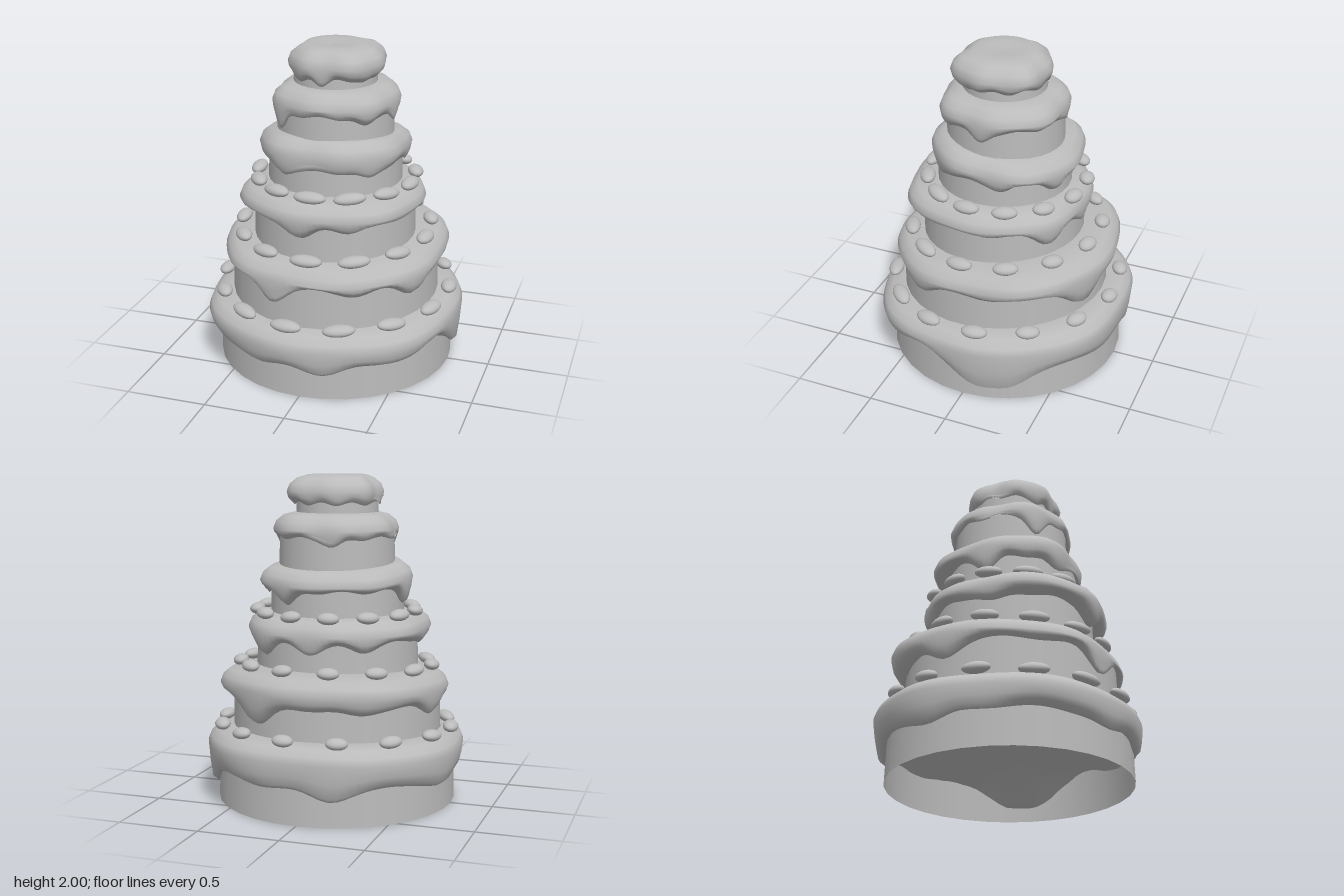
import * as THREE from 'three';

const TAU = Math.PI * 2;
const RAD = Math.PI / 180;

// Angles run from the front (+z) towards the model's left (+x).
// Height of the lower icing edge: a gently rippled line with drips, each [angle, depth]
function lowerEdge({ edge, drips }, a) {
  let y = edge + 0.01 * Math.sin(9 * a + edge * 20);
  for (const [deg, depth] of drips) {
    const d = Math.abs(((a / RAD - deg + 540) % 360) - 180);
    y -= depth * Math.exp(-((d / 11) ** 2));
  }
  return y;
}

// Outline of the icing: a slightly squared, shifted and wobbly circle
function outline({ spread, shift, edge }, a) {
  return spread + shift[0] * Math.sin(a) + shift[1] * Math.cos(a)
    - 0.013 * Math.cos(4 * a) + 0.008 * Math.sin(7 * a + edge * 9);
}

// Closed icing blob: each angle gets a cross-section from top centre to underside centre
function icingGeometry(tier, inner) {
  const N = 96, pos = [], idx = [];
  const { radius, top, tilt, z } = tier;
  for (let i = 0; i < N; i++) {
    const a = i / N * TAU;
    const R = outline(tier, a), low = lowerEdge(tier, a);
    const high = top + tilt * R * Math.cos(a);
    const belly = high - 0.1, under = top - 0.19;
    const lump = 0.02 * Math.sin(a * 5) + 0.015 * Math.sin(a * 3 + 1);
    const section = [
      [0.001, top - 0.01],
      [inner * 0.6, top - 0.005],
      [inner, high],
      [R - 0.065, high - 0.018],
      [R - 0.018, high - 0.055],
      [R, belly],
      [radius + (R - radius) * 0.85, (belly + low) / 2],
      [radius + (R - radius) * 0.65, low + 0.025],
      [radius + 0.012, low],
      [radius * 0.93, low + 0.03],
      [radius * 0.55, under + lump],
      [0.001, under],
    ];
    const M = section.length, j = (i + 1) % N;
    for (const [r, y] of section) pos.push(r * Math.sin(a), y, r * Math.cos(a) + z);
    for (let k = 0; k < M - 1; k++) {
      const p = i * M + k, q = j * M + k;
      idx.push(p, p + 1, q + 1, p, q + 1, q);
    }
  }
  const g = new THREE.BufferGeometry();
  g.setAttribute('position', new THREE.Float32BufferAttribute(pos, 3));
  g.setIndex(idx);
  g.computeVertexNormals();
  return g;
}

// Ring of flattened berries lying on a ledge
function berryRing({ count, start, ring, height, tilt }, material) {
  const group = new THREE.Group();
  const shape = new THREE.SphereGeometry(1, 20, 14);
  for (let k = 0; k < count; k++) {
    const a = start * RAD + k / count * TAU;
    const berry = new THREE.Mesh(shape, material);
    berry.name = 'berry';
    berry.scale.set(0.083 + 0.017 * Math.cos(a), 0.034, 0.048);
    berry.position.set(ring * Math.sin(a), height + tilt * ring * Math.cos(a), ring * Math.cos(a));
    berry.rotation.set(0.15, a, 0.08 * Math.sin(k * 2.3), 'YXZ');
    group.add(berry);
  }
  return group;
}

// Tiers from the bottom up
const tiers = [
  { radius: 0.735, z: 0, top: 0.45, tilt: -0.035, spread: 0.805, shift: [0, 0], edge: 0.22,
    drips: [[97, 0.12], [112, 0.11], [12, 0.06], [340, 0.05], [195, 0.06], [255, 0.05], [70, -0.05]],
    berries: { count: 14, start: -7, ring: 0.72, height: 0.47, tilt: -0.035 } },
  { radius: 0.645, z: 0.01, top: 0.825, tilt: -0.045, spread: 0.705, shift: [0, -0.025], edge: 0.67,
    drips: [[342, 0.11], [60, 0.08], [155, 0.12], [255, 0.08], [28, 0.03], [210, 0.04]],
    berries: { count: 13, start: 0, ring: 0.595, height: 0.85, tilt: -0.045 } },
  { radius: 0.5, z: 0.02, top: 1.17, tilt: 0, spread: 0.57, shift: [0, 0.025], edge: 1.02,
    drips: [[355, 0.09], [28, 0.04], [142, 0.08], [278, 0.05], [180, 0.05], [215, 0.04]],
    berries: { count: 13, start: -1, ring: 0.49, height: 1.18, tilt: 0 } },
  { radius: 0.41, z: 0.015, top: 1.48, tilt: 0.06, spread: 0.465, shift: [-0.01, -0.025], edge: 1.32,
    drips: [[45, 0.05], [110, 0.04], [155, 0.09], [270, 0.09], [330, 0.05]] },
  { radius: 0.355, z: 0.01, top: 1.775, tilt: 0, spread: 0.385, shift: [0.01, 0], edge: 1.63,
    drips: [[316, 0.12], [45, 0.06], [87, 0.08], [195, 0.05]] },
  { radius: 0.252, z: 0.015, top: 2, tilt: 0, spread: 0.295, shift: [0.02, 0.005], edge: 1.83,
    drips: [[0, 0.03], [55, 0.03], [330, 0.03]] },
];

export function createModel() {
  const model = new THREE.Group();
  model.name = 'tieredCake';
  const plaster = new THREE.MeshStandardMaterial({ color: 0xbbbbbb, side: THREE.DoubleSide });
  plaster.name = 'plain grey';

  tiers.forEach((tier, n) => {
    // Cake wall, open at both ends and sealed by the icing
    const { radius, top, z } = tier;
    const bottom = n ? tiers[n - 1].top - 0.09 : 0;
    const height = top - 0.08 - bottom;
    const wall = new THREE.Mesh(
      new THREE.CylinderGeometry(radius - 0.005, radius + 0.005, height, 32, 1, true), plaster);
    wall.position.set(0, bottom + height / 2, z);
    wall.name = `cakeTier${n + 1}`;
    model.add(wall);

    // Dripping icing, flat as far as the next tier's wall
    const inner = n < tiers.length - 1 ? Math.min(tiers[n + 1].radius, radius - 0.09) : 0.18;
    const icing = new THREE.Mesh(icingGeometry(tier, inner), plaster);
    icing.name = `icing${n + 1}`;
    model.add(icing);

    if (tier.berries) {
      const ring = berryRing(tier.berries, plaster);
      ring.name = `berryRing${n + 1}`;
      model.add(ring);
    }
  });
  return model;
}
